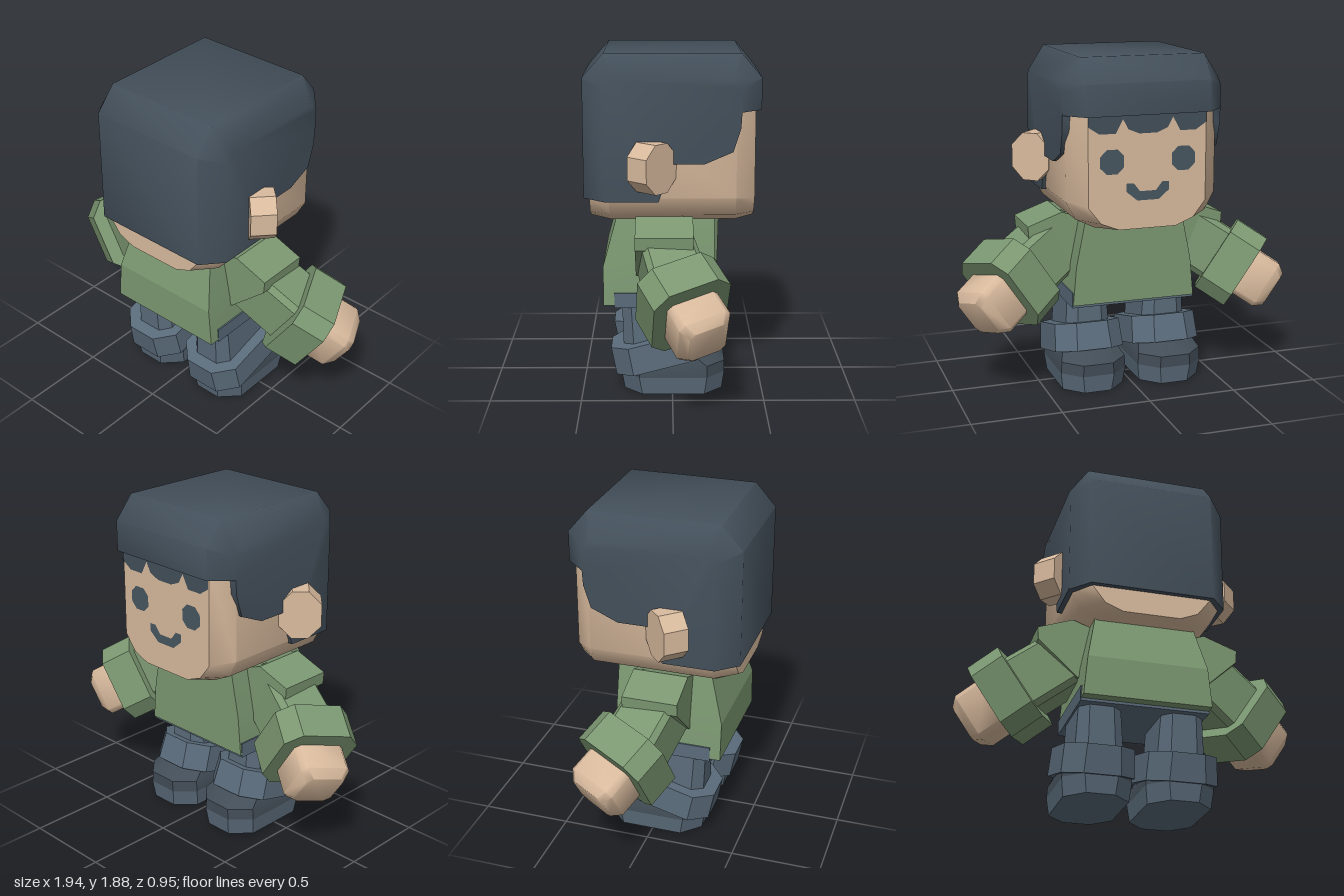
import * as THREE from 'three';
import { toCreasedNormals } from 'three/addons/utils/BufferGeometryUtils.js';

const V = (x, y, z) => new THREE.Vector3(x, y, z);
const basis = (u, v, w, o = V(0, 0, 0)) => new THREE.Matrix4().makeBasis(u, v, w).setPosition(o);

// Lofting frames: the section lies in (u, v), the loft runs along w
const X = V(1, 0, 0), Y = V(0, 1, 0), Z = V(0, 0, 1);
const alongX = basis(Y, Z, X), alongY = basis(Z, X, Y), alongZ = basis(X, Y, Z);

// Rectangle with cut corners
function oct(hu, hv, c, cu = 0, cv = 0) {
  return [[hu, -hv + c], [hu, hv - c], [hu - c, hv], [-hu + c, hv],
    [-hu, hv - c], [-hu, -hv + c], [-hu + c, -hv], [hu - c, -hv]].map(([u, v]) => [u + cu, v + cv]);
}

// Closed solid through sections [w, points]
function loft(sections, frame, crease = 0.5) {
  const pos = [];
  const flat = sections[0][1].map(p => new THREE.Vector2(...p));
  const flip = THREE.ShapeUtils.area(flat) < 0;
  const rings = sections.map(([w, pts]) => {
    const r = pts.map(([u, v]) => V(u, v, w).applyMatrix4(frame));
    return flip ? r.reverse() : r;
  });
  const tri = (...p) => p.forEach(q => pos.push(q.x, q.y, q.z));
  const n = flat.length;
  for (let k = 0; k + 1 < rings.length; k++) {
    const a = rings[k], b = rings[k + 1];
    for (let i = 0; i < n; i++) {
      const j = (i + 1) % n;
      tri(a[i], a[j], b[j]);
      tri(a[i], b[j], b[i]);
    }
  }
  const cap = (k, rev) => {
    const c = sections[k][1].map(p => new THREE.Vector2(...p));
    if (flip) c.reverse();
    for (const [i, j, l] of THREE.ShapeUtils.triangulateShape(c, [])) {
      const r = rings[k];
      rev ? tri(r[i], r[l], r[j]) : tri(r[i], r[j], r[l]);
    }
  };
  cap(0, true);
  cap(rings.length - 1, false);
  const g = new THREE.BufferGeometry();
  g.setAttribute('position', new THREE.Float32BufferAttribute(pos, 3));
  return toCreasedNormals(g, crease);
}

// Copy reflected in x, with corner order restored
function mirrored(geo, crease) {
  const src = geo.attributes.position, pos = [];
  for (let i = 0; i < src.count; i += 3)
    for (const k of [i, i + 2, i + 1]) pos.push(-src.getX(k), src.getY(k), src.getZ(k));
  const g = new THREE.BufferGeometry();
  g.setAttribute('position', new THREE.Float32BufferAttribute(pos, 3));
  return toCreasedNormals(g, crease);
}

export function createModel() {
  const model = new THREE.Group();
  const mat = (name, color) => Object.assign(new THREE.MeshStandardMaterial({ color }), { name });
  const skin = mat('skin', 0xd9bb9e);
  const hair = mat('hair', 0x434f5a);
  const shirt = mat('shirt', 0x7b9771);
  const denim = mat('trousers', 0x5a6b7a);
  const shoe = mat('shoe', 0x424d57);
  const ink = mat('face ink', 0x46565f);

  const add = (name, geo, material) => {
    const m = new THREE.Mesh(geo, material);
    m.name = name;
    model.add(m);
  };
  const pair = (name, geo, material, crease = 0.5) => {
    add('left' + name, geo, material);
    add('right' + name, mirrored(geo, crease), material);
  };

  // Head: flat face and back, bevelled sides and jaw
  const jaw = half => [...half, ...half.map(([x, y]) => [-x, y]).reverse()];
  const big = jaw([[0.425, 1.65], [0.425, 1.12], [0.37, 1.02], [0.27, 0.97]]);
  const small = jaw([[0.33, 1.65], [0.33, 1.1], [0.26, 1.01], [0.16, 0.97]]);
  add('head', loft([[-0.445, small], [-0.34, big], [0.34, big], [0.45, small]], alongZ, 0.8), skin);

  // Hair: side outline lofted across, drawn in at the temples; points are [y, z]
  const hairline = [[1.585, -0.365], [1.5, -0.36], [1.375, -0.32], [1.31, -0.17], [1.31, 0], [1.105, 0.075]];
  const mid = [[1.105, 0.48], [1.755, 0.48], [1.885, 0.365], [1.885, -0.365], [1.755, -0.475], [1.585, -0.475], ...hairline];
  const side = [[1.105, 0.365], [1.71, 0.365], [1.755, 0.32], [1.755, -0.32], [1.71, -0.366], [1.585, -0.366], ...hairline];
  add('hair', loft([[-0.445, side], [-0.345, mid], [0.345, mid], [0.445, side]], alongX, 1.0), hair);

  // Painted face: fringe tips, eyes and mouth as thin plates
  const plate = (name, pts, x, y, material) => {
    const g = new THREE.ShapeGeometry(new THREE.Shape(pts.map(p => new THREE.Vector2(...p))));
    g.rotateY(Math.PI).translate(x, y, -0.449);
    add(name, g, material);
  };
  plate('fringe', [[-0.33, 1.6], [-0.33, 1.53], [-0.27, 1.49], [-0.18, 1.49], [-0.14, 1.565], [-0.11, 1.51],
    [-0.05, 1.485], [0.05, 1.485], [0.11, 1.51], [0.14, 1.565], [0.18, 1.49], [0.27, 1.49], [0.33, 1.53], [0.33, 1.6]], 0, 0, hair);
  for (const s of [1, -1]) plate(s > 0 ? 'leftEye' : 'rightEye', oct(0.066, 0.066, 0.036), s * 0.2, 1.34, ink);
  plate('mouth', [[-0.12, 0.045], [-0.12, 0.0], [-0.06, -0.05], [0.06, -0.05], [0.12, 0.0], [0.12, 0.045],
    [0.08, 0.045], [0.045, 0.0], [-0.045, 0.0], [-0.08, 0.045]], 0, 1.175, ink);

  // Ears: thick octagonal discs turned towards the face
  const ear = basis(V(0.73, 0, 0.68), Y, V(0.68, 0, -0.73).negate(), V(0.465, 1.297, 0.11));
  pair('Ear', loft([[-0.07, oct(0.115, 0.133, 0.07)], [0.07, oct(0.115, 0.133, 0.07)]], ear), skin);

  // Torso and the trouser waist below it; sections are [z, x]
  const rect = (z0, z1, x) => [[z0, -x], [z1, -x], [z1, x], [z0, x]];
  add('torso', loft([[0.5, rect(-0.23, 0.38, 0.355)], [0.72, rect(-0.23, 0.38, 0.335)],
    [0.99, rect(-0.23, 0.305, 0.28)]], alongY, 0.2), shirt);
  add('waist', loft([[0.485, rect(-0.22, 0.32, 0.357)], [0.57, rect(-0.22, 0.32, 0.357)]], alongY), denim);

  // Arms: shoulder, sleeve, wide cuff and fist share one slanted frame
  const d = V(0.74, -0.52, -0.44).normalize();
  const e3 = V(-0.38, 0.2, -0.9);
  e3.addScaledVector(d, -e3.dot(d)).normalize();
  const e2 = V(0, 0, 0).crossVectors(d, e3);
  const arm = basis(e3, e2, d, V(0.665, 0.62, -0.05));
  const shoulder = [[0.27, 0.97], [0.38, 1.01], [0.575, 0.94], [0.57, 0.87], [0.35, 0.67], [0.27, 0.67]];
  pair('Shoulder', loft([[-0.11, shoulder], [0.2, shoulder]], alongZ), shirt);
  pair('Sleeve', loft([[-0.42, oct(0.15, 0.16, 0.03, 0.08)], [-0.05, oct(0.155, 0.165, 0.03)]], arm), shirt);
  pair('SleeveCuff', loft([[-0.1, oct(0.22, 0.23, 0.08)], [0.1, oct(0.22, 0.23, 0.08)]], arm), shirt);
  pair('Hand', loft([[0.05, oct(0.145, 0.145, 0.03)], [0.24, oct(0.145, 0.145, 0.03)],
    [0.29, oct(0.11, 0.11, 0.03)]], arm, 0.9), skin, 0.9);

  // Legs: tapered shin, tilted turn-up, shoe and sole
  pair('Leg', loft([[0.2, oct(0.2, 0.135, 0.06, 0.07, 0.225)], [0.52, oct(0.2, 0.115, 0.05, 0.08, 0.23)]], alongY), denim);
  const turnUp = new THREE.Matrix4().makeTranslation(0.23, 0.235, 0.065)
    .multiply(new THREE.Matrix4().makeRotationX(0.26)).multiply(alongY);
  pair('TurnUp', loft([[-0.078, oct(0.275, 0.2, 0.1)], [0.078, oct(0.265, 0.19, 0.1)]], turnUp), denim);
  pair('Sole', loft([[0, oct(0.272, 0.178, 0.1, -0.005, 0.228)], [0.1, oct(0.287, 0.19, 0.1, -0.003, 0.228)]], alongY), denim);
  pair('Shoe', loft([[0.1, oct(0.287, 0.19, 0.1, -0.003, 0.228)], [0.165, oct(0.287, 0.185, 0.1, -0.003, 0.228)],
    [0.235, oct(0.17, 0.15, 0.08, 0, 0.228)]], alongY), shoe);

  return model;
}
